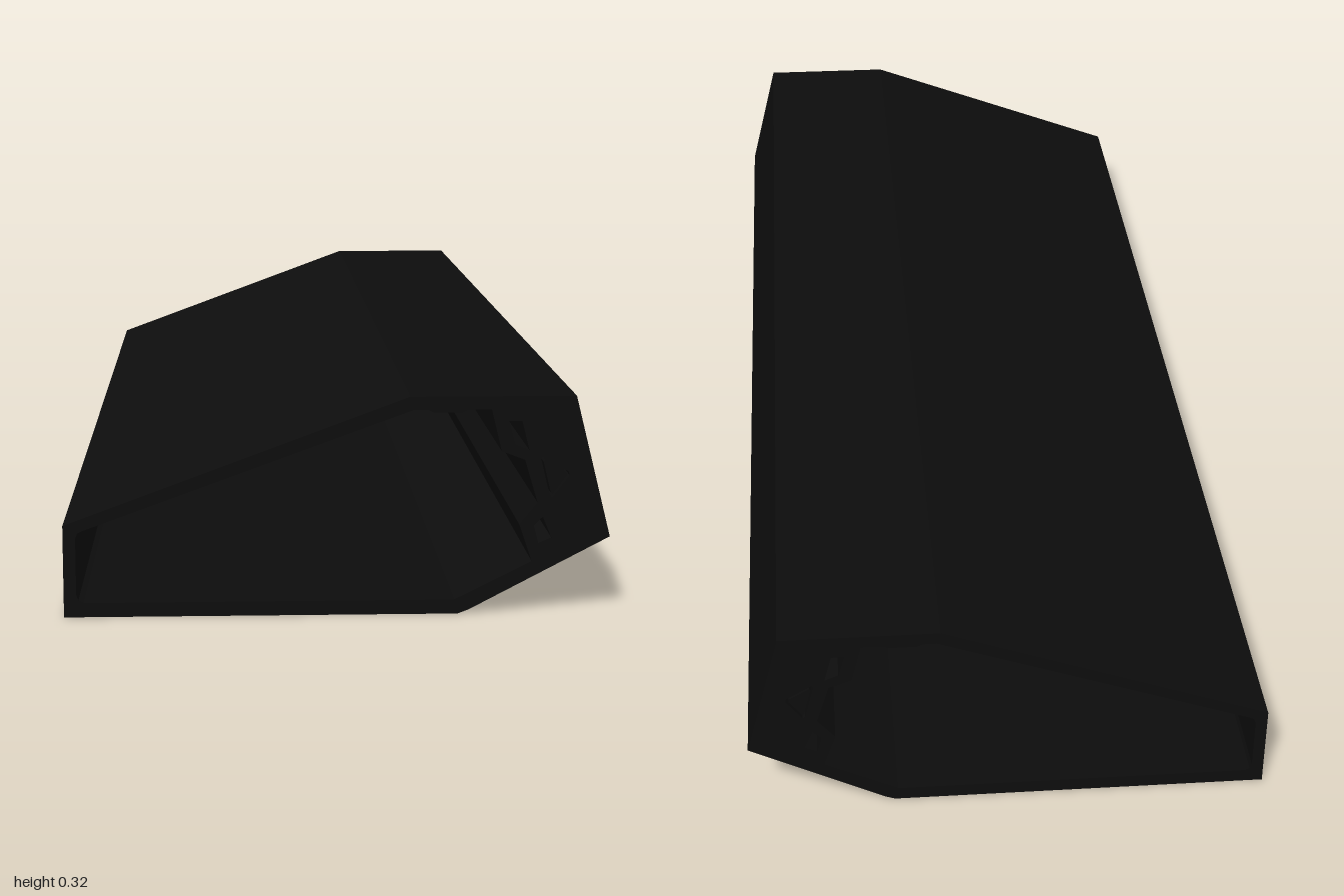
import * as THREE from 'three';

const LENGTH = 2;
const black = new THREE.MeshStandardMaterial({ color: 0x0d0d0d });
black.name = 'black';

const points = (list) => list.map(([x, y]) => new THREE.Vector2(x, y));

// Straight extrusion along z, centred on z = 0
function extrude(name, outline, holes = []) {
  const shape = new THREE.Shape(points(outline));
  for (const hole of holes) shape.holes.push(new THREE.Path(points(hole)));
  const geometry = new THREE.ExtrudeGeometry(shape, { depth: LENGTH, bevelEnabled: false });
  geometry.translate(0, 0, -LENGTH / 2);
  const mesh = new THREE.Mesh(geometry, black);
  mesh.name = name;
  return mesh;
}

// Triangle with clipped corners, scaled about its centre
function triangle(scale) {
  const corners = [[0.292, 0.234], [0.337, 0.207], [0.308, 0.168]];
  const cx = 0.3123, cy = 0.203, clip = 0.08;
  const out = [];
  corners.forEach((c, i) => {
    for (const n of [corners[(i + 2) % 3], corners[(i + 1) % 3]]) {
      const x = c[0] + (n[0] - c[0]) * clip, y = c[1] + (n[1] - c[1]) * clip;
      out.push([cx + (x - cx) * scale, cy + (y - cy) * scale]);
    }
  });
  return out;
}

export function createModel() {
  const group = new THREE.Group();
  group.name = 'extrudedProfile';

  const outer = [
    [-0.395, 0], [0.175, 0], [0.191, 0.006], [0.395, 0.113],
    [0.343, 0.32], [0.104, 0.32], [-0.395, 0.135],
  ];
  // Large chamber with rounded left corners, a ceiling rib and a stepped right wall
  const chamber = [
    [-0.377, 0.033], [-0.374, 0.025], [-0.367, 0.021], [0.170, 0.021],
    [0.282, 0.077], [0.263, 0.132], [0.289, 0.164], [0.270, 0.227],
    [0.236, 0.240], [0.221, 0.301], [0.187, 0.301], [0.179, 0.297],
    [0.138, 0.297], [0.130, 0.301], [0.109, 0.301], [-0.368, 0.127],
    [-0.374, 0.124], [-0.377, 0.116],
  ];
  const upperSlot = [[0.246, 0.284], [0.265, 0.284], [0.276, 0.241], [0.255, 0.250]];
  const lowerSlot = [[0.297, 0.143], [0.310, 0.112], [0.291, 0.104], [0.284, 0.130]];

  group.add(extrude('shell', outer, [chamber, upperSlot, lowerSlot, triangle(1)]));
  // Core inside the triangular channel, leaving a narrow gap around it
  group.add(extrude('triangularCore', triangle(0.82)));
  return group;
}
